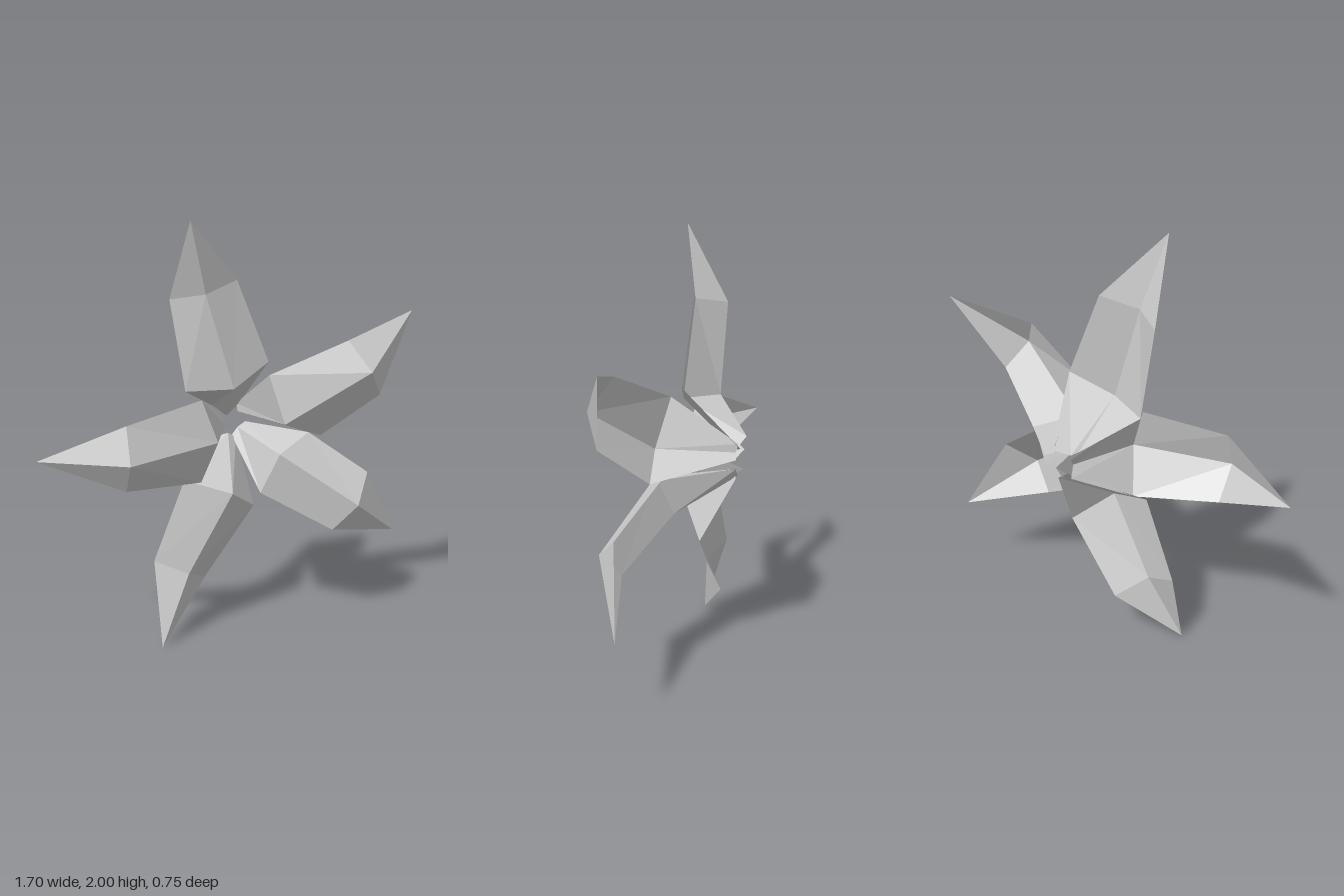
import * as THREE from 'three';

const petalGrey = new THREE.MeshStandardMaterial({ color: 0xcccccc, side: THREE.DoubleSide, flatShading: true });
petalGrey.name = 'petal grey';

// Each petal: rows from base to widest part, [edge, ridge, edge], then a pointed tip.
const petals = {
  topPetal: {
    rows: [
      [[0.08, 1.08, -0.29], [0.13, 1.03, -0.24], [0.21, 1.06, -0.26]],
      [[-0.17, 1.21, -0.17], [-0.02, 1.23, 0], [0.19, 1.33, 0]],
      [[-0.23, 1.64, -0.2], [-0.14, 1.67, -0.05], [0.04, 1.72, -0.05]],
    ],
    tip: [-0.25, 2, -0.01],
  },
  upperLeftPetal: {
    rows: [
      [[0.2, 1.08, -0.25], [0.2, 1.04, -0.24], [0.25, 1.02, -0.24]],
      [[0.15, 1.28, 0.05], [0.19, 1.05, 0.12], [0.41, 0.96, 0.13]],
      [[0.44, 1.44, 0.27], [0.49, 1.3, 0.38], [0.6, 1.17, 0.33]],
    ],
    tip: [0.85, 1.54, 0.29],
  },
  lowerLeftPetal: {
    rows: [
      [[0.25, 0.98, -0.24], [0.2, 0.96, -0.24], [0.17, 0.92, -0.25]],
      [[0.38, 0.97, 0.08], [0.16, 0.91, 0.12], [0.11, 0.71, 0.04]],
      [[0.6, 0.77, 0.27], [0.46, 0.65, 0.35], [0.38, 0.52, 0.26]],
    ],
    tip: [0.82, 0.41, 0.25],
  },
  bottomPetal: {
    rows: [
      [[0.19, 0.91, -0.24], [0.14, 0.94, -0.24], [0.1, 0.93, -0.26]],
      [[0.17, 0.6, -0.08], [-0.02, 0.72, -0.01], [-0.2, 0.79, -0.15]],
      [[-0.06, 0.25, -0.18], [-0.21, 0.33, -0.11], [-0.34, 0.4, -0.21]],
    ],
    tip: [-0.38, 0, -0.1],
  },
  rightPetal: {
    rows: [
      [[0.12, 0.935, -0.28], [0.12, 0.985, -0.24], [0.12, 1.03, -0.28]],
      [[-0.13, 0.775, -0.11], [-0.11, 0.99, -0.005], [-0.16, 1.19, -0.06]],
      [[-0.53, 0.81, -0.14], [-0.57, 0.96, -0.04], [-0.55, 1.13, -0.095]],
    ],
    tip: [-0.85, 0.96, -0.37],
  },
};

// Folded open shell: two strips of quads beside the ridge, closed by a tip
function petalGeometry({ rows, tip }) {
  const points = [...rows.flat(), tip];
  const index = [];
  const last = rows.length - 1;
  for (let side = 0; side < 2; side++) {
    for (let r = 0; r < last; r++) {
      const a = r * 3 + side, b = a + 1, c = a + 3, d = a + 4;
      index.push(a, b, d, a, d, c);
    }
    const e = last * 3 + side;
    index.push(e, e + 1, points.length - 1);
  }
  const indexed = new THREE.BufferGeometry();
  indexed.setAttribute('position', new THREE.Float32BufferAttribute(points.flat(), 3));
  indexed.setIndex(index);
  const geometry = indexed.toNonIndexed();
  geometry.computeVertexNormals();
  return geometry;
}

export function createModel() {
  const flower = new THREE.Group();
  flower.name = 'flower';
  for (const [name, petal] of Object.entries(petals)) {
    const mesh = new THREE.Mesh(petalGeometry(petal), petalGrey);
    mesh.name = name;
    flower.add(mesh);
  }
  return flower;
}
